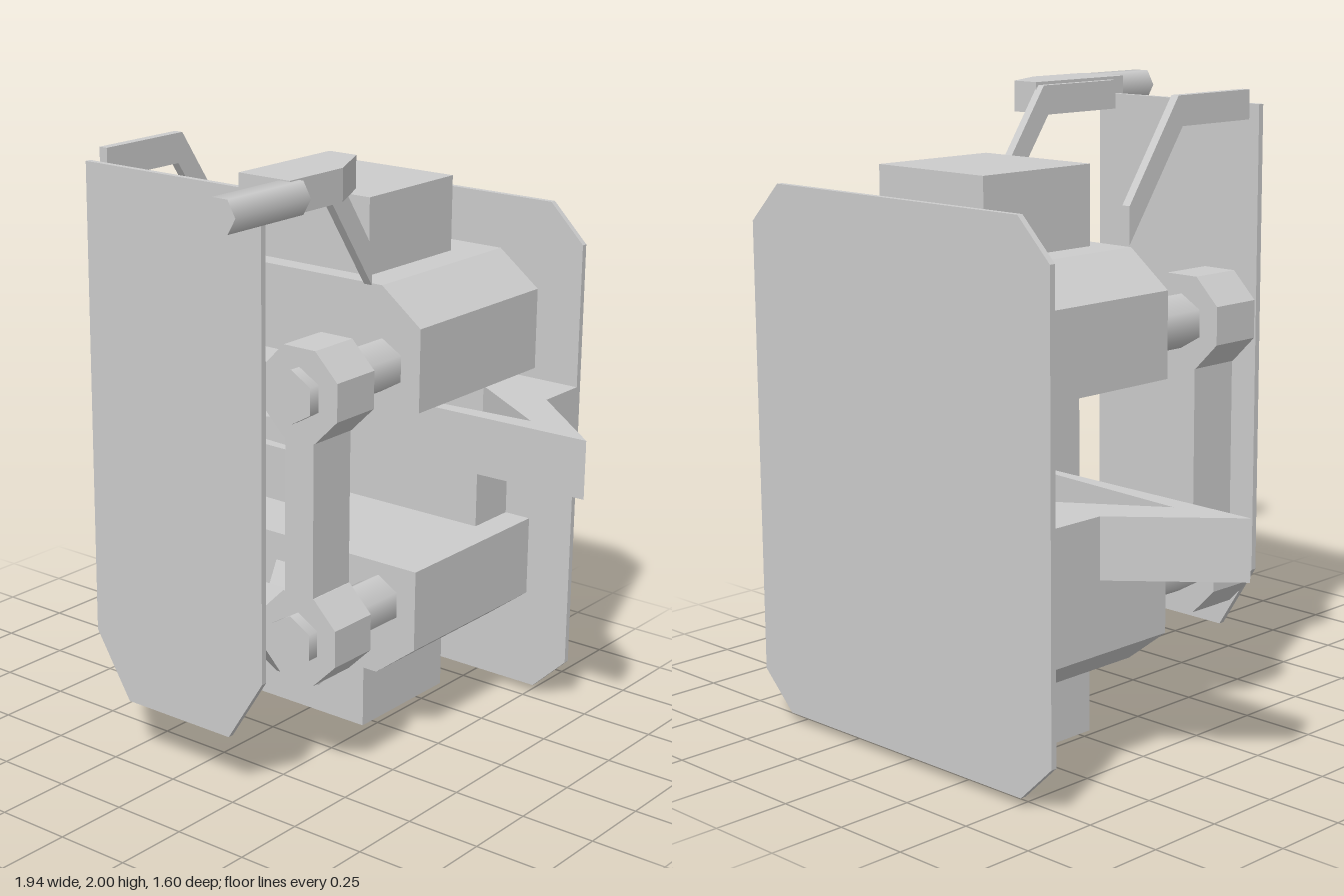
import * as THREE from 'three';

const material = new THREE.MeshStandardMaterial({ color: 0xcccccc, flatShading: true });
const smooth = new THREE.MeshStandardMaterial({ color: 0xcccccc });

export function createModel() {
  const model = new THREE.Group();
  model.name = 'shieldMechanism';

  const add = (name, geometry, mat = material) => {
    const mesh = new THREE.Mesh(geometry, mat);
    mesh.name = name;
    model.add(mesh);
    return mesh;
  };
  // Box given by its limits on each axis
  const box = (name, x0, x1, y0, y1, z0, z1) =>
    add(name, new THREE.BoxGeometry(x1 - x0, y1 - y0, z1 - z0))
      .position.set((x0 + x1) / 2, (y0 + y1) / 2, (z0 + z1) / 2);

  const extrude = (points, depth) => new THREE.ExtrudeGeometry(
    new THREE.Shape(points.map(([a, b]) => new THREE.Vector2(a, b))),
    { depth, bevelEnabled: false });
  // Outlines drawn as (x, y), (x, z) and (z, y)
  const slabXY = (name, pts, z0, z1) =>
    add(name, extrude(pts, z1 - z0).translate(0, 0, z0));
  const slabXZ = (name, pts, y0, y1) =>
    add(name, extrude(pts.map(([x, z]) => [x, -z]), y1 - y0).rotateX(-Math.PI / 2).translate(0, y0, 0));
  const slabZY = (name, pts, x0, x1) =>
    add(name, extrude(pts.map(([z, y]) => [-z, y]), x1 - x0).rotateY(Math.PI / 2).translate(x0, 0, 0));
  // Prism or rod along z
  const rod = (name, r, sides, turn, x, y, z0, z1, mat) =>
    add(name, new THREE.CylinderGeometry(r, r, z1 - z0, sides, 1, false, turn).rotateX(Math.PI / 2), mat)
      .position.set(x, y, (z0 + z1) / 2);

  // Back plate with cut corners, and front panel tapering at the foot
  slabXY('backPlate', [
    [-0.52, 0.03], [0.52, 0.03], [0.645, 0.15], [0.645, 1.605],
    [0.52, 1.73], [-0.52, 1.73], [-0.645, 1.605], [-0.645, 0.15],
  ], -0.8, -0.78);
  slabXY('frontPanel', [
    [-0.21, 0.2], [0.21, 0.2], [0.345, 0.415], [0.345, 1.945], [-0.345, 1.945], [-0.345, 0.415],
  ], 0.45, 0.47);

  // Upper and lower halves mirror about the middle height
  const midY = 0.9;
  for (const s of [1, -1]) {
    const half = s > 0 ? 'upper' : 'lower';
    slabXY(half + 'Housing', [
      [-0.48, 0.265], [0.48, 0.265], [0.48, 0.535], [0.33, 0.65], [-0.33, 0.65], [-0.48, 0.535],
    ].map(([x, y]) => [x, midY + s * y]), -0.78, -0.13);

    const ends = [midY + s * 0.62, midY + s * 0.9].sort((a, b) => a - b);
    box(half + 'EndBlock', -0.225, 0.225, ends[0], ends[1], -0.645, -0.2);

    // Rods, their eight-sided collars and the cross bar
    const y = midY + s * 0.395;
    for (const x of [-0.333, 0.333]) {
      rod(half + 'Rod', 0.086, 6, 0, x, y, -0.15, 0.32, smooth);
      rod(half + 'Collar', 0.145 / Math.cos(Math.PI / 8), 8, Math.PI / 8, x, y, 0.1, 0.28);
    }
    box(half + 'CrossBar', -0.2, 0.2, y - 0.06, y + 0.06, 0.1, 0.28);
  }
  box('rearBlock', -0.385, 0.385, 0.63, 1.17, -0.78, -0.6);

  for (const s of [-1, 1]) {
    const side = s > 0 ? 'left' : 'right';
    const x = s * 0.335;
    box(side + 'UprightBar', x - 0.055, x + 0.055, 0.64, 1.16, 0.1, 0.28);

    // Side wing: root, slanted arm and inward strut in one outline
    const y0 = s > 0 ? 0.94 : 0.67;
    slabXZ(side + 'Wing', [
      [0.37, -0.78], [0.645, -0.78], [0.645, -0.6], [0.97, -0.32], [0.1, -0.3],
      [0.1, -0.33], [0.73, -0.38], [0.4, -0.6], [0.37, -0.6],
    ].map(([px, z]) => [s * px, z]), y0, y0 + 0.19);

    // Bent arm behind the front panel
    slabZY(side + 'PanelArm', [
      [0.45, 1.895], [0.45, 1.99], [0.11, 1.99], [-0.11, 1.67], [-0.11, 1.55], [0.13, 1.895],
    ], s * 0.29 - 0.015, s * 0.29 + 0.015);
  }

  // Angled foot below the lower housing
  slabZY('foot', [
    [0, 0.27], [-0.14, 0.56], [-0.25, 0.56], [-0.25, 0.16], [-0.13, 0.135],
  ], -0.092, 0.092);

  // Handle mount and six-sided grip
  slabXZ('handleMount', [
    [0.3, 0.1], [0.4, 0.1], [0.487, 0.275], [0.487, 0.515], [0.3, 0.515],
  ], 1.9, 2);
  rod('handleGrip', 0.056, 6, Math.PI / 2, 0.475, 1.948, 0.475, 0.8, smooth);

  return model;
}
